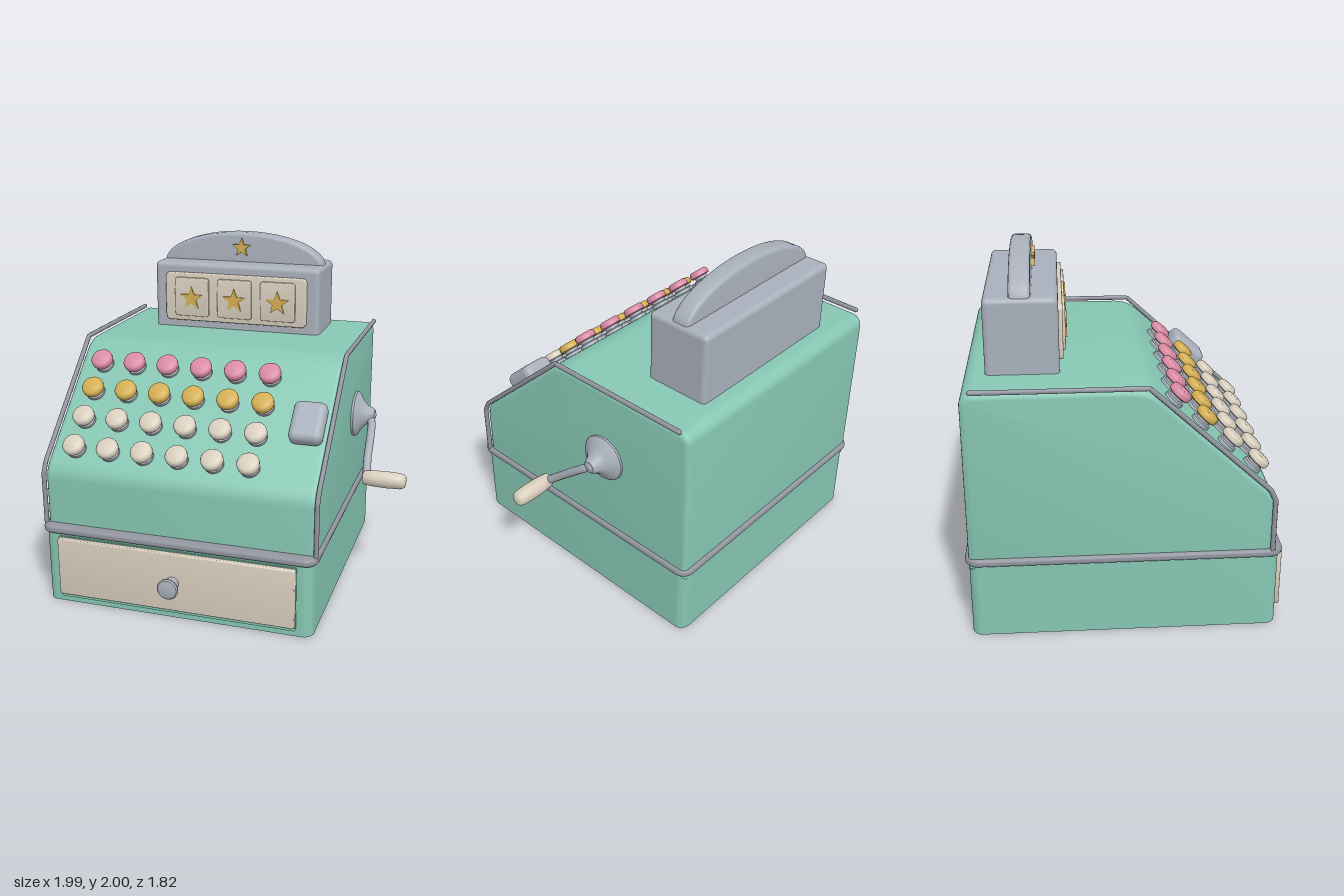
import * as THREE from 'three';
import { toCreasedNormals } from 'three/addons/utils/BufferGeometryUtils.js';
import { RoundedBoxGeometry } from 'three/addons/geometries/RoundedBoxGeometry.js';

const CX = -0.178; // middle of the cabinet

function mat(name, color) {
  const m = new THREE.MeshStandardMaterial({ color });
  m.name = name;
  return m;
}

// Rounded rectangle outline centred on the origin
function roundRect(w, h, r) {
  const s = new THREE.Shape(), x = w / 2, y = h / 2;
  s.moveTo(-x + r, -y);
  s.lineTo(x - r, -y).absarc(x - r, -y + r, r, -Math.PI / 2, 0);
  s.lineTo(x, y - r).absarc(x - r, y - r, r, 0, Math.PI / 2);
  s.lineTo(-x + r, y).absarc(-x + r, y - r, r, Math.PI / 2, Math.PI);
  s.lineTo(-x, -y + r).absarc(-x + r, -y + r, r, Math.PI, Math.PI * 1.5);
  return s;
}

// Extrusion of total depth d, centred in depth, with a bevel kept inside the outline
function slab(shape, d, bevel = 0, segs = 3) {
  const g = new THREE.ExtrudeGeometry(shape, {
    depth: d - 2 * bevel, bevelEnabled: bevel > 0, bevelSize: bevel, bevelThickness: bevel,
    bevelOffset: -bevel, bevelSegments: segs, curveSegments: 8,
  });
  g.translate(0, 0, -(d - 2 * bevel) / 2);
  return toCreasedNormals(g, 0.7);
}

function star(r) {
  const s = new THREE.Shape();
  for (let i = 0; i < 10; i++) {
    const a = Math.PI / 2 + i * Math.PI / 5, q = i % 2 ? r * 0.42 : r;
    s[i ? 'lineTo' : 'moveTo'](Math.cos(a) * q, Math.sin(a) * q);
  }
  s.closePath();
  return s;
}

function lathe(points, segs = 24) {
  return toCreasedNormals(new THREE.LatheGeometry(points.map(p => new THREE.Vector2(...p)), segs), 0.6);
}

export function createModel() {
  const root = new THREE.Group();
  root.name = 'cashRegister';
  const green = mat('mint green', 0x86c6b2);
  const grey = mat('steel grey', 0xa9b0bb);
  const trimGrey = mat('trim grey', 0x92959f);
  const cream = mat('cream', 0xd8cebd);
  const pink = mat('pink', 0xd98aa3);
  const gold = mat('gold', 0xd4ae52);

  function add(name, geo, m, x = 0, y = 0, z = 0, parent = root) {
    const mesh = new THREE.Mesh(geo, m);
    mesh.name = name;
    mesh.position.set(x, y, z);
    parent.add(mesh);
    return mesh;
  }

  // Drawer base and the band above it
  const base = slab(roundRect(1.59, 1.67, 0.06), 0.44);
  add('base', base.rotateX(-Math.PI / 2), green, CX, 0.22, -0.055);
  const band = slab(roundRect(1.628, 1.71, 0.075), 0.045, 0.018);
  add('band', band.rotateX(-Math.PI / 2), trimGrey, CX, 0.452, -0.055);

  // Sloped cabinet from a side profile (shape x = model z)
  const p = new THREE.Shape();
  p.moveTo(0.735, 0.4);
  p.lineTo(0.735, 0.74);
  p.quadraticCurveTo(0.735, 0.8, 0.68, 0.85);
  p.lineTo(0.13, 1.353);
  p.quadraticCurveTo(0.065, 1.412, -0.02, 1.412);
  p.lineTo(-0.82, 1.412);
  p.absarc(-0.82, 1.342, 0.07, Math.PI / 2, Math.PI);
  p.lineTo(-0.89, 0.4);
  add('cabinet', slab(p, 1.59, 0.035, 4).rotateY(-Math.PI / 2), green, CX);

  // Edge trim following the profile on both sides
  const pts = [[0.47, 0.738], [0.77, 0.738], [0.832, 0.708], [1.422, 0.066], [1.422, -0.83]];
  const path = new THREE.CurvePath();
  for (let i = 0; i < pts.length - 1; i++) {
    path.add(new THREE.LineCurve3(new THREE.Vector3(0, ...pts[i]), new THREE.Vector3(0, ...pts[i + 1])));
  }
  const trim = new THREE.TubeGeometry(path, 100, 0.014, 8);
  const cap = new THREE.SphereGeometry(0.014, 8, 6);
  for (const s of [-1, 1]) {
    add('edgeTrim', trim, trimGrey, CX + s * 0.8);
    add('trimEnd', cap, trimGrey, CX + s * 0.8, 1.422, -0.83);
  }

  // Drawer front, its surround and the knob
  add('drawerSurround', slab(roundRect(1.41, 0.385, 0.01), 0.009), green, CX, 0.225, 0.783);
  add('drawerFront', slab(roundRect(1.405, 0.352, 0.012), 0.05, 0.008), cream, CX, 0.235, 0.79);
  const knob = lathe([[0.04, 0], [0.036, 0.02], [0.034, 0.04], [0.045, 0.06], [0.06, 0.078],
    [0.062, 0.088], [0.055, 0.096], [0.03, 0.102], [0, 0.104]]);
  add('drawerKnob', knob, grey, CX, 0.235, 0.805).rotation.x = Math.PI / 2;

  // Keyboard: local frame lying on the slope, y pointing out of it, z running down it
  const tilt = Math.atan2(0.503, 0.55);
  const keys = new THREE.Group();
  keys.name = 'keyboard';
  keys.position.set(0, 1.101, 0.405);
  keys.rotation.x = tilt;
  root.add(keys);
  const stemGeo = lathe([[0.056, -0.01], [0.056, 0.018], [0.042, 0.024], [0.042, 0.05]], 20);
  const capGeo = lathe([[0, 0.04], [0.058, 0.04], [0.064, 0.046], [0.064, 0.068], [0.058, 0.078],
    [0.048, 0.084], [0, 0.084]], 20);
  [pink, gold, cream, cream].forEach((m, r) => {
    for (let c = 0; c < 6; c++) {
      const x = -0.815 + c * 0.207, z = (r - 1.5) * 0.193 + 0.014;
      add('keyStem', stemGeo, grey, x, 0, z, keys);
      add('keyCap', capGeo, m, x, 0, z, keys);
    }
  });
  add('largeKey', new RoundedBoxGeometry(0.19, 0.1, 0.25, 4, 0.04), grey, 0.494, 0.035, 0.008, keys);

  // Display box with an arched crest
  add('displayBox', new RoundedBoxGeometry(1.066, 0.44, 0.39, 4, 0.03), grey, CX, 1.6, -0.575);
  const arch = new THREE.Shape();
  arch.moveTo(-0.52, 1.75);
  arch.lineTo(0.52, 1.75);
  arch.lineTo(0.52, 1.8);
  for (let i = 1; i <= 32; i++) {
    const a = i * Math.PI / 32;
    arch.lineTo(Math.cos(a) * 0.52, 1.8 + Math.sin(a) * 0.2);
  }
  add('crest', slab(arch, 0.113, 0.02), grey, CX, 0, -0.577);
  add('crestStar', slab(star(0.06), 0.025), gold, CX, 1.908, -0.513);

  // Display panel with three star cards
  add('displayPanel', slab(roundRect(0.915, 0.304, 0.03), 0.04, 0.008), cream, CX, 1.608, -0.378);
  for (let i = -1; i <= 1; i++) {
    const x = CX + i * 0.279;
    add('displayCard', slab(roundRect(0.223, 0.245, 0.02), 0.03, 0.006), cream, x, 1.61, -0.359);
    add('cardStar', slab(star(0.075), 0.018), gold, x, 1.603, -0.344);
  }

  // Crank on the left side: flared mount, bent arm, handle
  const crank = new THREE.Group();
  crank.name = 'crank';
  root.add(crank);
  const mount = lathe([[0.138, 0], [0.138, 0.02], [0.125, 0.035], [0.085, 0.058], [0.058, 0.085],
    [0.045, 0.115], [0.035, 0.13], [0, 0.135]], 32);
  add('crankMount', mount, grey, 0.61, 0.96, -0.293, crank).rotation.z = -Math.PI / 2;
  const arm = new THREE.CatmullRomCurve3([[0.69, 0.965, -0.3], [0.725, 0.935, -0.262], [0.738, 0.87, -0.18],
    [0.745, 0.77, -0.06], [0.76, 0.68, 0.046]].map(v => new THREE.Vector3(...v)));
  add('crankArm', new THREE.TubeGeometry(arm, 24, 0.024, 10), grey, 0, 0, 0, crank);
  add('crankElbow', new THREE.SphereGeometry(0.04, 16, 12), grey, 0.71, 0.96, -0.293, crank);
  const handle = lathe([[0, 0], [0.036, 0], [0.042, 0.01], [0.048, 0.07], [0.05, 0.14], [0.047, 0.22],
    [0.04, 0.24], [0.028, 0.25], [0, 0.253]]);
  add('crankHandle', handle, cream, 0.742, 0.682, 0.045, crank).rotation.z = -Math.PI / 2;

  return root;
}
